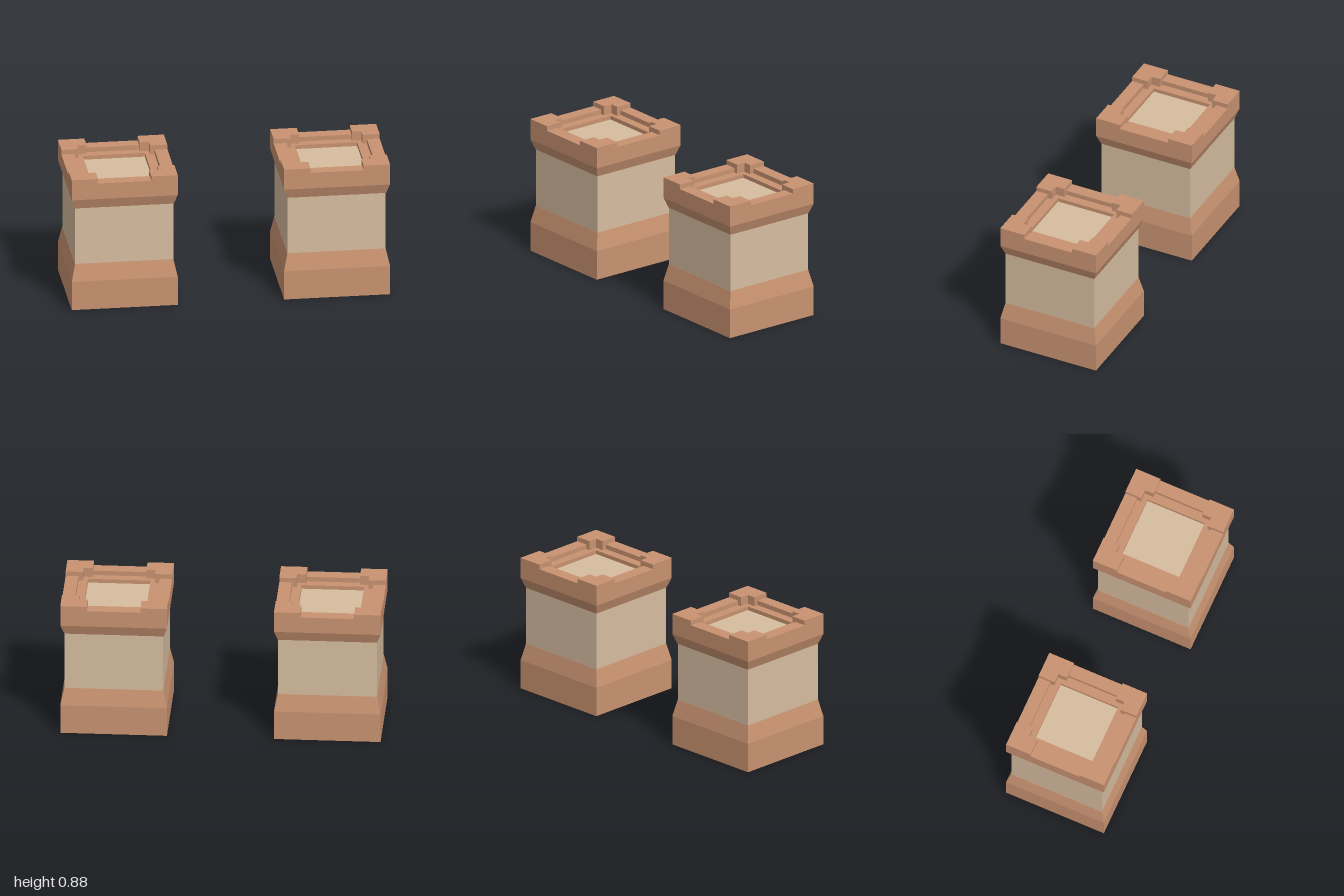
import * as THREE from 'three';

const terracotta = new THREE.MeshStandardMaterial({ color: 0xc99371 });
terracotta.name = 'terracotta';
const sandstone = new THREE.MeshStandardMaterial({ color: 0xd7bda0 });
sandstone.name = 'sandstone';

// Square solid from a [half width, height] profile, with hard edges
function squareLathe(profile) {
  const points = profile.map(([half, y]) => new THREE.Vector2(half * Math.SQRT2, y));
  const geometry = new THREE.LatheGeometry(points, 4, Math.PI / 4).toNonIndexed();
  geometry.computeVertexNormals();
  return geometry;
}

function part(name, geometry, material) {
  const mesh = new THREE.Mesh(geometry, material);
  mesh.name = name;
  return mesh;
}

// Raised corner block with a notch cut from its inner corner
function cornerGeometry() {
  const outline = [[0.333, 0.333], [0.167, 0.333], [0.167, 0.225],
    [0.225, 0.225], [0.225, 0.167], [0.333, 0.167]];
  const shape = new THREE.Shape(outline.map(([x, y]) => new THREE.Vector2(x, y)));
  const geometry = new THREE.ExtrudeGeometry(shape, { depth: 0.06, bevelEnabled: false });
  geometry.rotateX(-Math.PI / 2);
  geometry.translate(0, 0.815, 0);
  return geometry;
}

function createTower(name) {
  const tower = new THREE.Group();
  tower.name = name;

  // Plinth, shaft and hollow flared rim
  tower.add(part('plinth', squareLathe([[0, 0], [0.333, 0], [0.333, 0.19], [0.309, 0.3], [0, 0.3]]), terracotta));
  tower.add(part('shaft', squareLathe([[0.308, 0.3], [0.308, 0.676]]), sandstone));
  tower.add(part('rim', squareLathe([
    [0.3, 0.675], [0.31, 0.675], [0.333, 0.74], [0.333, 0.845],
    [0.253, 0.845], [0.253, 0.815], [0.195, 0.815], [0.195, 0.785],
  ]), terracotta));

  // Sunken roof floor
  const floor = part('roofFloor', new THREE.BoxGeometry(0.4, 0.02, 0.4), sandstone);
  floor.position.y = 0.78;
  tower.add(floor);

  // Four corner blocks
  const corner = cornerGeometry();
  for (let i = 0; i < 4; i++) {
    const block = part('cornerBlock', corner, terracotta);
    block.rotation.y = i * Math.PI / 2;
    tower.add(block);
  }
  return tower;
}

export function createModel() {
  const model = new THREE.Group();
  model.name = 'towerPair';
  for (const side of [-1, 1]) {
    const tower = createTower(side > 0 ? 'leftTower' : 'rightTower');
    tower.position.x = side * 0.667;
    model.add(tower);
  }
  return model;
}
